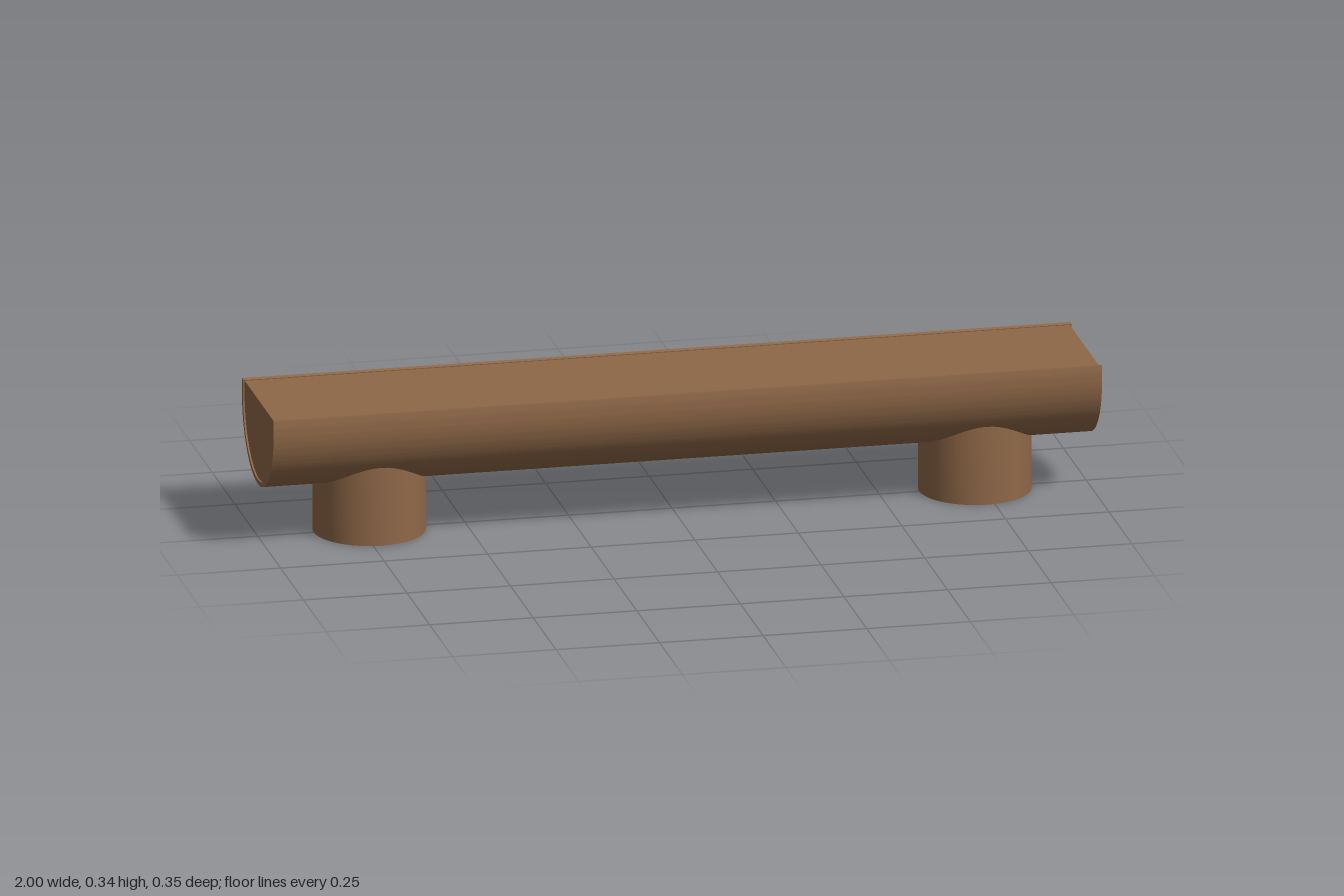
import * as THREE from 'three';
import { toCreasedNormals } from 'three/addons/utils/BufferGeometryUtils.js';

const AXIS_Y = 0.304, OUTER = 0.174, INNER = 0.163;

// Extrude a cross-section along x, centred, with smooth round sides
function extrudeAlongX(shape, length) {
  const g = new THREE.ExtrudeGeometry(shape, { depth: length, bevelEnabled: false, curveSegments: 48 });
  g.translate(0, 0, -length / 2);
  g.rotateY(Math.PI / 2);
  return toCreasedNormals(g, 0.5);
}

export function createModel() {
  const model = new THREE.Group();
  model.name = 'logBench';
  const wood = new THREE.MeshStandardMaterial({ color: 0x8f6848 });
  wood.name = 'brown wood';

  const add = (name, geometry, parent = model) => {
    const mesh = new THREE.Mesh(geometry, wood);
    mesh.name = name;
    parent.add(mesh);
    return mesh;
  };

  // Bark: open curved shell around the underside of the split log
  const lip = Math.asin((0.338 - AXIS_Y) / OUTER);
  const bark = new THREE.Shape();
  bark.absarc(0, 0, OUTER, Math.PI - lip, Math.PI * 2 + lip, false);
  bark.absarc(0, 0, INNER, Math.PI * 2 + lip, Math.PI - lip, true);
  bark.closePath();
  add('seatBark', extrudeAlongX(bark, 2)).position.y = AXIS_Y;

  // Core: flat-topped wood, set slightly inside the bark
  const flat = Math.asin((0.334 - AXIS_Y) / INNER);
  const core = new THREE.Shape();
  core.absarc(0, 0, INNER, Math.PI - flat, Math.PI * 2 + flat, false);
  core.closePath();
  add('seatCore', extrudeAlongX(core, 1.992)).position.y = AXIS_Y;

  // Legs: short upright logs with a bark sleeve and a recessed core
  const sleeve = [[0.123, 0.205], [0.123, 0], [0.134, 0], [0.134, 0.205]]
    .map(([r, y]) => new THREE.Vector2(r, y));
  for (const [name, x] of [['leftLeg', 0.731], ['rightLeg', -0.731]]) {
    const leg = new THREE.Group();
    leg.name = name;
    leg.position.x = x;
    add('legBark', toCreasedNormals(new THREE.LatheGeometry(sleeve, 48), 0.5), leg);
    add('legCore', new THREE.CylinderGeometry(0.123, 0.123, 0.197, 48), leg).position.y = 0.1065;
    model.add(leg);
  }
  return model;
}
